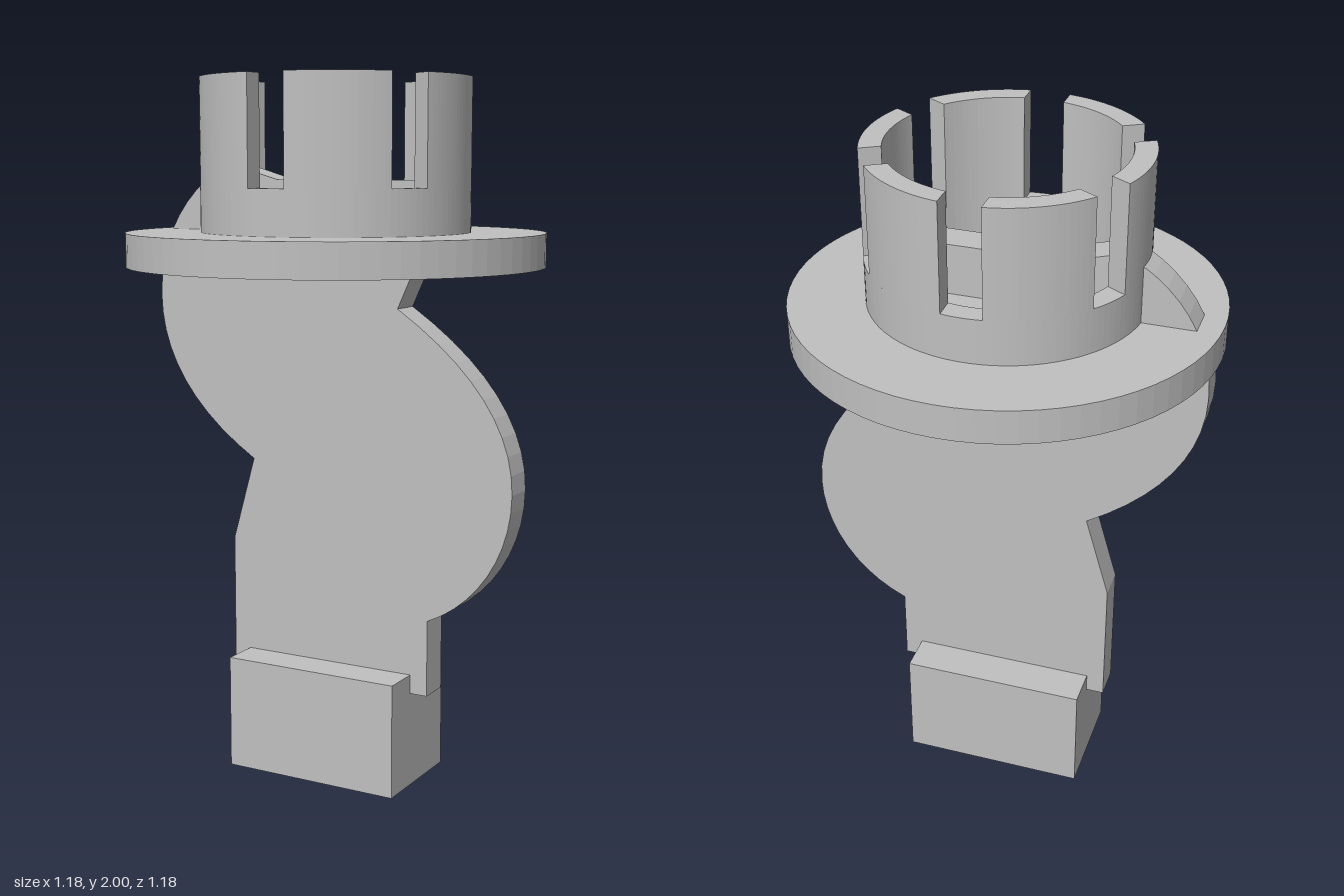
import * as THREE from 'three';

const grey = new THREE.MeshStandardMaterial({ color: 0xc0c0c0, flatShading: true });
grey.name = 'plain grey';

export function createModel() {
  const model = new THREE.Group();
  model.name = 'stand';

  function add(name, geometry, y = 0, parent = model) {
    const mesh = new THREE.Mesh(geometry, grey);
    mesh.name = name;
    mesh.position.y = y;
    parent.add(mesh);
    return mesh;
  }

  // Extrudes a ground-plan shape upwards
  const raise = (shape, height, curveSegments) =>
    new THREE.ExtrudeGeometry(shape, { depth: height, bevelEnabled: false, curveSegments }).rotateX(-Math.PI / 2);

  // Foot block
  add('footBlock', new THREE.BoxGeometry(0.536, 0.33, 0.32), 0.165);

  // Flat S-shaped web
  const s = new THREE.Shape();
  s.moveTo(-0.32, 0.275);
  s.lineTo(0.32, 0.275);
  s.lineTo(0.32, 0.495);
  s.bezierCurveTo(0.47, 0.56, 0.57, 0.71, 0.57, 0.88);
  s.bezierCurveTo(0.57, 1.06, 0.45, 1.22, 0.22, 1.37);
  s.lineTo(0.27, 1.48);
  s.lineTo(0.34, 1.6);
  s.lineTo(0.34, 1.72);
  s.lineTo(-0.165, 1.72);
  s.lineTo(-0.325, 1.765);
  s.bezierCurveTo(-0.47, 1.7, -0.57, 1.56, -0.57, 1.38);
  s.bezierCurveTo(-0.57, 1.2, -0.46, 1.04, -0.25, 0.91);
  s.lineTo(-0.32, 0.665);
  s.closePath();
  const web = new THREE.ExtrudeGeometry(s, { depth: 0.094, bevelEnabled: false, curveSegments: 10 });
  add('web', web.translate(0, 0, -0.047));

  // Round flange
  add('flange', new THREE.CylinderGeometry(0.59, 0.59, 0.095, 72), 1.5275);

  // Slotted cup: solid lower ring and six upright tabs
  const outer = 0.38, inner = 0.32, halfSlot = 0.055;
  const cup = new THREE.Group();
  cup.name = 'slottedCup';
  model.add(cup);

  const ring = new THREE.Shape().absarc(0, 0, outer, 0, Math.PI * 2);
  ring.holes.push(new THREE.Path().absarc(0, 0, inner, 0, Math.PI * 2, true));
  add('cupRing', raise(ring, 0.125, 60), 1.575, cup);

  const a = Math.PI / 6 - Math.asin(halfSlot / outer);
  const b = Math.PI / 6 - Math.asin(halfSlot / inner);
  const tab = new THREE.Shape();
  tab.absarc(0, 0, outer, -a, a, false);
  tab.absarc(0, 0, inner, b, -b, true);
  tab.closePath();
  const tabGeometry = raise(tab, 0.3, 8);
  for (let i = 0; i < 6; i++) {
    add('cupTab', tabGeometry, 1.7, cup).rotation.y = i * Math.PI / 3;
  }

  return model;
}
